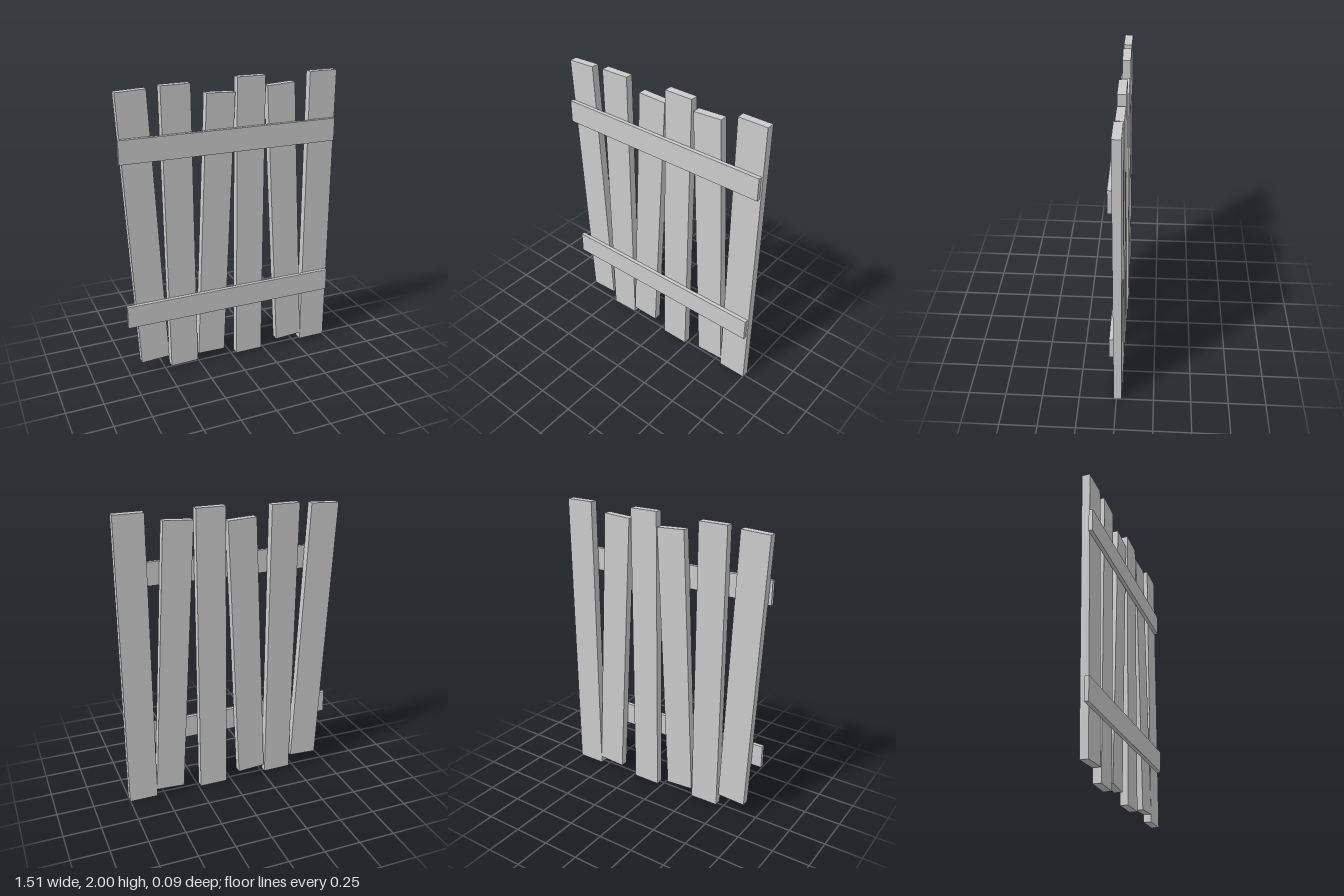
import * as THREE from 'three';

export function createModel() {
  const fence = new THREE.Group();
  fence.name = 'picketFence';
  const wood = new THREE.MeshStandardMaterial({ color: 0xcccccc, flatShading: true });

  function board(name, width, height, depth, x, y, z, lean = 0, twist = 0) {
    const mesh = new THREE.Mesh(new THREE.BoxGeometry(width, height, depth), wood);
    mesh.name = name;
    mesh.position.set(x, y, z);
    mesh.rotation.set(0, twist, lean);
    fence.add(mesh);
  }

  // Upright planks, some hanging crooked: x, y, length, lean, twist, z
  const planks = [
    [-0.614, 1.032, 1.872, 0.0453, 0, -0.009],
    [-0.366, 0.998, 1.97, 0.0067, 0.025, -0.012],
    [-0.114, 0.986, 1.85, -0.0456, 0.025, -0.014],
    [0.135, 1, 2, 0, 0, -0.009],
    [0.402, 0.991, 1.892, 0.0588, 0, -0.009],
    [0.654, 1, 2, 0, 0, -0.009],
  ];
  planks.forEach(([x, y, length, lean, twist, z], i) =>
    board(`plank${i + 1}`, 0.197, length, 0.054, x, y, z, lean, twist));

  // Cross rails on the front face
  board('lowerRail', 1.5, 0.155, 0.026, -0.007, 0.472, 0.031);
  board('upperRail', 1.5, 0.155, 0.026, -0.007, 1.602, 0.031);

  return fence;
}
